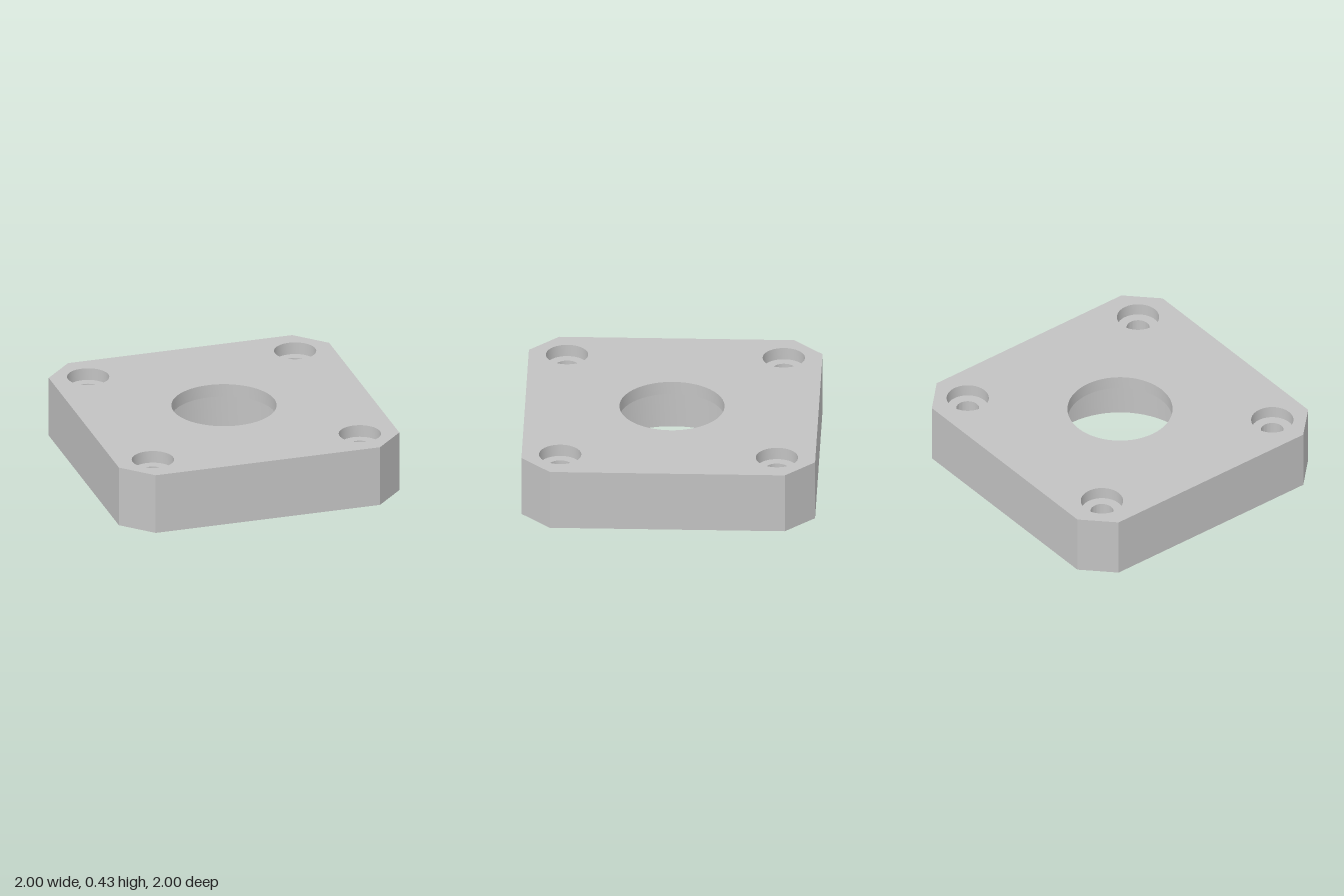
import * as THREE from 'three';
import { toCreasedNormals } from 'three/addons/utils/BufferGeometryUtils.js';

const HEIGHT = 0.428, CUT = 0.8, SEGMENTS = 64;
const BOLT = 0.738;
const BORE = { top: 0.358, bottom: 0.527, ledge: 0.336 };
const SCREW = { top: 0.144, bottom: 0.078, ledge: HEIGHT - 0.086 };
const boltSpots = [[1, 1], [-1, 1], [-1, -1], [1, -1]].map(([x, z]) => [x * BOLT, z * BOLT]);

// Square plate outline with cut corners, a centre hole and four bolt holes
function plateFace(boreRadius, screwRadius) {
  const shape = new THREE.Shape([
    [1, -CUT], [1, CUT], [CUT, 1], [-CUT, 1],
    [-1, CUT], [-1, -CUT], [-CUT, -1], [CUT, -1],
  ].map(([x, y]) => new THREE.Vector2(x, y)));
  const addHole = (x, y, r) =>
    shape.holes.push(new THREE.Path().absarc(x, y, r, 0, Math.PI * 2, true));
  addHole(0, 0, boreRadius);
  boltSpots.forEach(([x, y]) => addHole(x, y, screwRadius));
  return new THREE.ShapeGeometry(shape, SEGMENTS / 2);
}

// Stepped hole lining, drawn from top to bottom so that it faces inward
function steppedHole({ top, bottom, ledge }) {
  const profile = [[top, HEIGHT], [top, ledge], [bottom, ledge], [bottom, 0]]
    .map(([r, y]) => new THREE.Vector2(r, y));
  return toCreasedNormals(new THREE.LatheGeometry(profile, SEGMENTS), 0.6);
}

export function createModel() {
  const model = new THREE.Group();
  model.name = 'flangePlate';
  const metal = new THREE.MeshStandardMaterial({ color: 0xc2c2c2 });
  metal.name = 'grey metal';

  const add = (name, geometry) => {
    const mesh = new THREE.Mesh(geometry, metal);
    mesh.name = name;
    model.add(mesh);
    return mesh;
  };

  // Top and bottom faces
  add('topFace', plateFace(BORE.top, SCREW.top).rotateX(-Math.PI / 2)).position.y = HEIGHT;
  add('bottomFace', plateFace(BORE.bottom, SCREW.bottom).rotateX(Math.PI / 2));

  // Four long sides alternating with four cut corners
  for (let i = 0; i < 8; i++) {
    const corner = i % 2 === 1;
    const width = corner ? (1 - CUT) * Math.SQRT2 : CUT * 2;
    const distance = corner ? (1 + CUT) / Math.SQRT2 : 1;
    add(corner ? 'cutCorner' : 'side', new THREE.PlaneGeometry(width, HEIGHT)
      .translate(0, HEIGHT / 2, distance)
      .rotateY(i * Math.PI / 4));
  }

  // Centre bore, wider below its ledge
  add('centreBore', steppedHole(BORE));

  // Counterbored bolt holes
  const screwGeometry = steppedHole(SCREW);
  boltSpots.forEach(([x, z]) => add('boltHole', screwGeometry).position.set(x, 0, z));

  return model;
}
